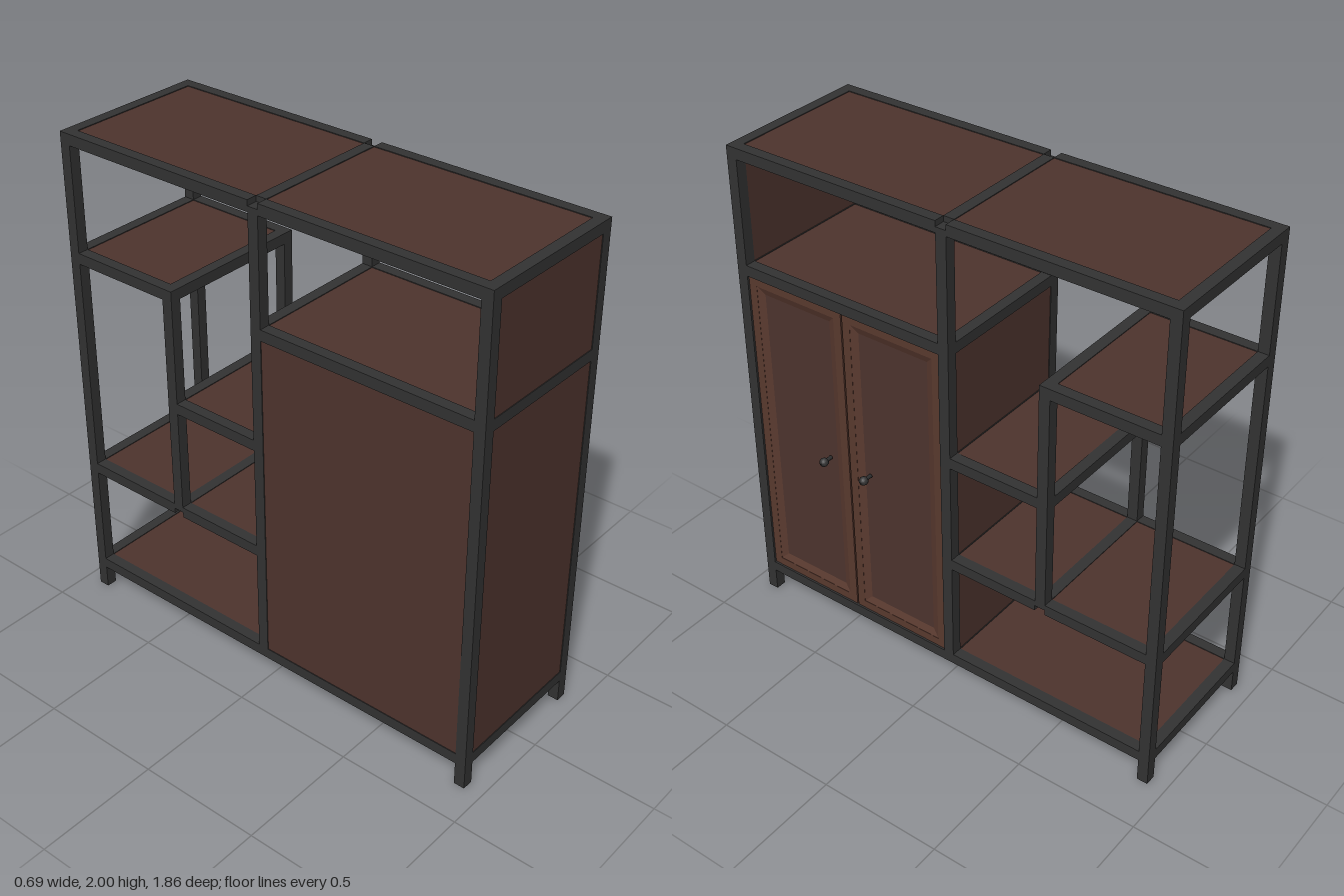
import * as THREE from 'three';

export function createModel() {
  const model = new THREE.Group();
  const metal = new THREE.MeshStandardMaterial({ color: 0x333333 });
  const wood = new THREE.MeshStandardMaterial({ color: 0x4e342e });
  const trim = new THREE.MeshStandardMaterial({ color: 0x5a3a2f });

  // Box given by its minimum and maximum on each axis
  function box(name, material, [x0, x1], [y0, y1], [z0, z1], parent = model) {
    const mesh = new THREE.Mesh(new THREE.BoxGeometry(x1 - x0, y1 - y0, z1 - z0), material);
    mesh.position.set((x0 + x1) / 2, (y0 + y1) / 2, (z0 + z1) / 2);
    mesh.name = name;
    parent.add(mesh);
    return mesh;
  }

  const T = 0.044, B = T / 2;                 // bar thickness and half of it
  const xBack = -0.326, xFront = 0.278;       // bar centre lines across the depth
  const zLeft = 0.908, zMid = -0.02, zInner = -0.44, zRight = -0.908;
  const around = c => [c - B, c + B];
  const yTop = 1.978, yHigh = 1.512, yNook = 1.05, yLow = 0.587, yBase = 0.118;

  // Upright posts, in pairs at back and front
  const posts = [['cornerPost', zLeft, 0, 2], ['cornerPost', zRight, 0, 2],
    ['middlePost', zMid, yBase - B, yTop], ['innerPost', zInner, yLow, yHigh + B]];
  for (const [name, z, y0, y1] of posts)
    for (const x of [xBack, xFront]) box(name, metal, around(x), [y0, y1], around(z));

  // Framed shelf: two long rails, a cross bar at each end, a board between
  function shelf(name, y, zA, zB) {
    const g = new THREE.Group();
    g.name = name;
    for (const x of [xBack, xFront]) box('rail', metal, around(x), around(y), [zA + B, zB - B], g);
    for (const z of [zA, zB]) box('crossBar', metal, [xBack + B, xFront - B], around(y), around(z), g);
    box('board', wood, [xBack + B, xFront - B], [y - B + 0.003, y + B - 0.003], [zA + B, zB - B], g);
    model.add(g);
  }
  shelf('topLeft', yTop, zMid, zLeft);
  shelf('topRight', yTop, zRight, zMid);
  shelf('cabinetTop', yHigh, zMid, zLeft);
  shelf('cabinetBase', yBase, zMid, zLeft);
  shelf('baseShelf', yBase, zRight, zMid);
  shelf('lowShelfOuter', yLow, zRight, zInner);
  shelf('lowShelfInner', yLow, zInner, zMid);
  shelf('nookShelf', yNook, zInner, zMid);
  shelf('highShelf', yHigh, zRight, zInner);

  // Side, divider and back panels
  const depth = [xBack + B, xFront - B], cabinetY = [yBase + B, yHigh - B];
  const thin = z => [z - B + 0.003, z + B - 0.003];
  box('sidePanel', wood, depth, cabinetY, thin(zLeft));
  box('upperSidePanel', wood, depth, [yHigh + B, yTop - B], thin(zLeft));
  box('dividerPanel', wood, depth, cabinetY, thin(zMid));
  box('backPanel', wood, [xBack - B + 0.003, xBack + B], cabinetY, [zMid + B, zLeft - B]);

  // Rectangle path, for door outlines and openings
  function rect(P, w, h) {
    const p = new P();
    p.moveTo(-w / 2, -h / 2);
    p.lineTo(w / 2, -h / 2);
    p.lineTo(w / 2, h / 2);
    p.lineTo(-w / 2, h / 2);
    p.closePath();
    return p;
  }

  // Door built facing +z, then turned to face +x
  function door(zA, zB, knobZ) {
    const g = new THREE.Group();
    g.name = 'door';
    const w = zB - zA, h = cabinetY[1] - cabinetY[0], zc = (zA + zB) / 2, yc = (cabinetY[0] + cabinetY[1]) / 2;
    box('doorSlab', wood, [-w / 2, w / 2], [-h / 2, h / 2], [-0.03, -0.012], g);
    const outline = rect(THREE.Shape, w, h);
    outline.holes.push(rect(THREE.Path, w - 0.07, h - 0.07));
    const frame = new THREE.Mesh(new THREE.ExtrudeGeometry(outline, { depth: 0.014, bevelEnabled: false }), trim);
    frame.position.z = -0.014;
    frame.name = 'doorFrame';
    g.add(frame);

    // Sloped moulding stepping down to the centre panel
    const moulding = new THREE.Mesh(new THREE.CylinderGeometry(1, 1, 1, 4, 1, true).toNonIndexed(), trim.clone());
    moulding.material.side = THREE.DoubleSide;
    const p = moulding.geometry.attributes.position;
    for (let i = 0; i < p.count; i++) {
      const a = Math.atan2(p.getZ(i), p.getX(i)) + Math.PI / 4, outer = p.getY(i) > 0;
      const inset = outer ? 0.07 : 0.13;
      p.setXYZ(i, Math.sign(Math.cos(a)) * (w - inset) / 2, Math.sign(Math.sin(a)) * (h - inset) / 2, outer ? -0.001 : -0.0115);
    }
    moulding.geometry.computeVertexNormals();
    moulding.name = 'doorMoulding';
    g.add(moulding);

    // Knob: a short stem flaring into a round head
    const profile = [[0, 0], [0.008, 0], [0.007, 0.026], [0.015, 0.03], [0.018, 0.04], [0.014, 0.052], [0, 0.056]]
      .map(([r, y]) => new THREE.Vector2(r, y));
    const knob = new THREE.Mesh(new THREE.LatheGeometry(profile, 16), metal);
    knob.rotation.x = Math.PI / 2;
    knob.position.set(zc - knobZ, 0.818 - yc, -0.003);
    knob.name = 'knob';
    g.add(knob);

    g.rotation.y = Math.PI / 2;
    g.position.set(0.292, yc, zc);
    model.add(g);
  }
  door(0.447, zLeft - B, 0.54);
  door(zMid + B, 0.441, 0.345);

  return model;
}
